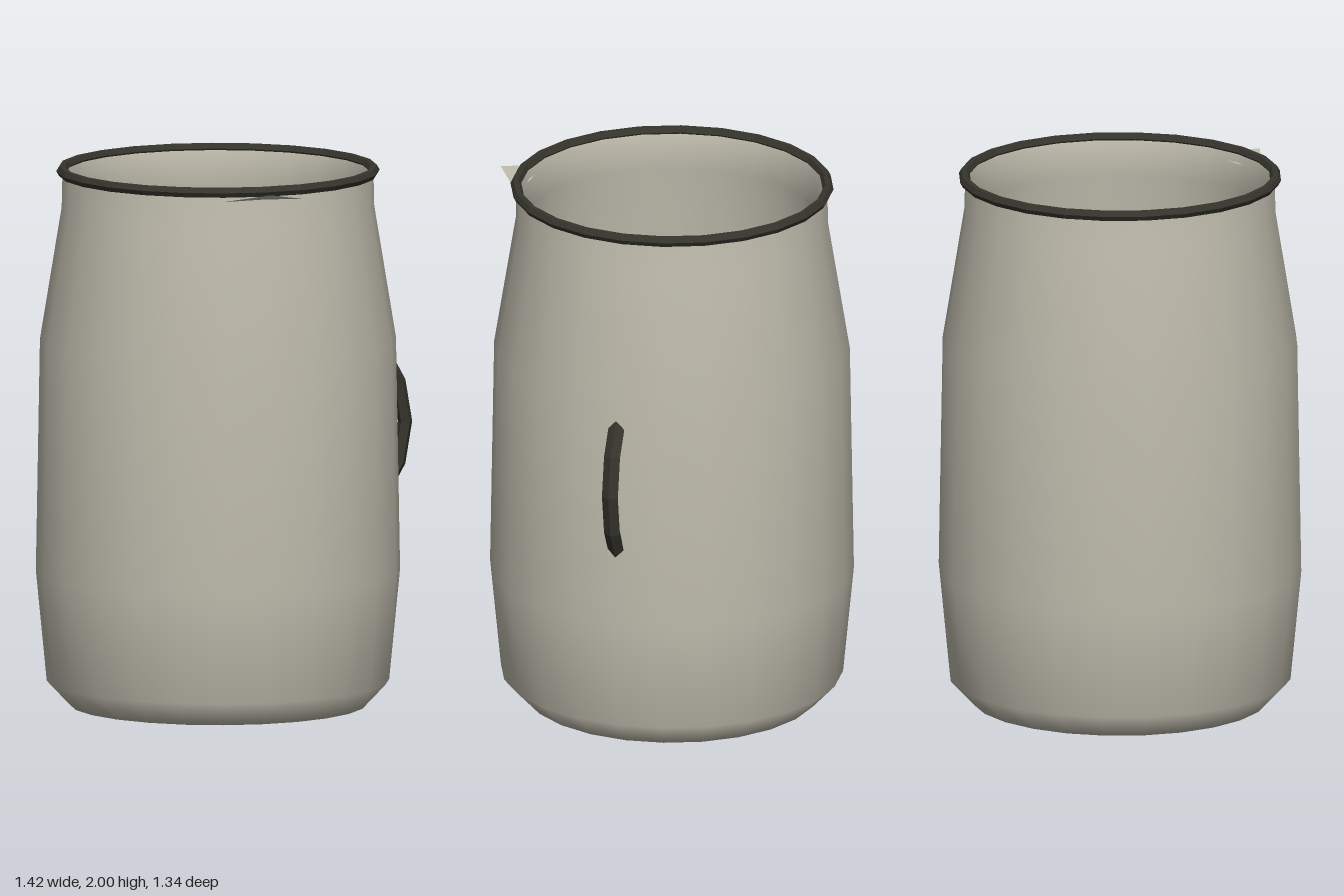
import * as THREE from 'three';

const AXIS_X = -0.04; // the jar sits slightly left so the handle balances the width

// Separate the faces so that each one is shaded flat
function faceted(geometry) {
  const flat = geometry.toNonIndexed();
  flat.computeVertexNormals();
  return flat;
}

export function createModel() {
  const group = new THREE.Group();
  group.name = 'enamelJug';

  const enamel = new THREE.MeshStandardMaterial({ color: 0xbfbcad });
  const trim = new THREE.MeshStandardMaterial({ color: 0x35342c });
  const spoutEnamel = enamel;
  spoutEnamel.side = THREE.DoubleSide;

  function add(name, geometry, material, x, y, z) {
    const mesh = new THREE.Mesh(geometry, material);
    mesh.name = name;
    mesh.position.set(x, y, z);
    group.add(mesh);
    return mesh;
  }

  // Hollow body: up the outside, over the lip, down the inside
  const profile = [
    [0, 0], [0.545, 0], [0.63, 0.09], [0.67, 0.5], [0.655, 1.36],
    [0.575, 1.85], [0.572, 1.98], [0.56, 1.985],
    [0.535, 1.85], [0.615, 1.36], [0.63, 0.5], [0.59, 0.11], [0.51, 0.04], [0, 0.04],
  ].map(([r, y]) => new THREE.Vector2(r, y));
  add('body', new THREE.LatheGeometry(profile, 24), enamel, AXIS_X, 0, 0);

  // Dark rolled rim
  const rim = new THREE.TorusGeometry(0.575, 0.02, 6, 24).rotateX(-Math.PI / 2);
  add('rim', faceted(rim), trim, AXIS_X, 1.9827, 0);

  // Small pointed spout, tucked under the rim at the front
  const spout = new THREE.BufferGeometry();
  spout.setAttribute('position', new THREE.Float32BufferAttribute(
    [-0.16, 1.945, 0.546, 0, 1.982, 0.663, 0.16, 1.945, 0.546], 3));
  spout.computeVertexNormals();
  add('spout', spout, spoutEnamel, AXIS_X, 0, 0);

  // Bowed handle on the side, its ends buried in the wall
  const arc = THREE.MathUtils.degToRad(76);
  const handle = new THREE.TorusGeometry(0.452, 0.027, 5, 4, arc)
    .rotateZ(-arc / 2)
    .scale(1, 1, 1.2);
  add('handle', faceted(handle), trim, 0.228, 1.02, 0);

  return group;
}
